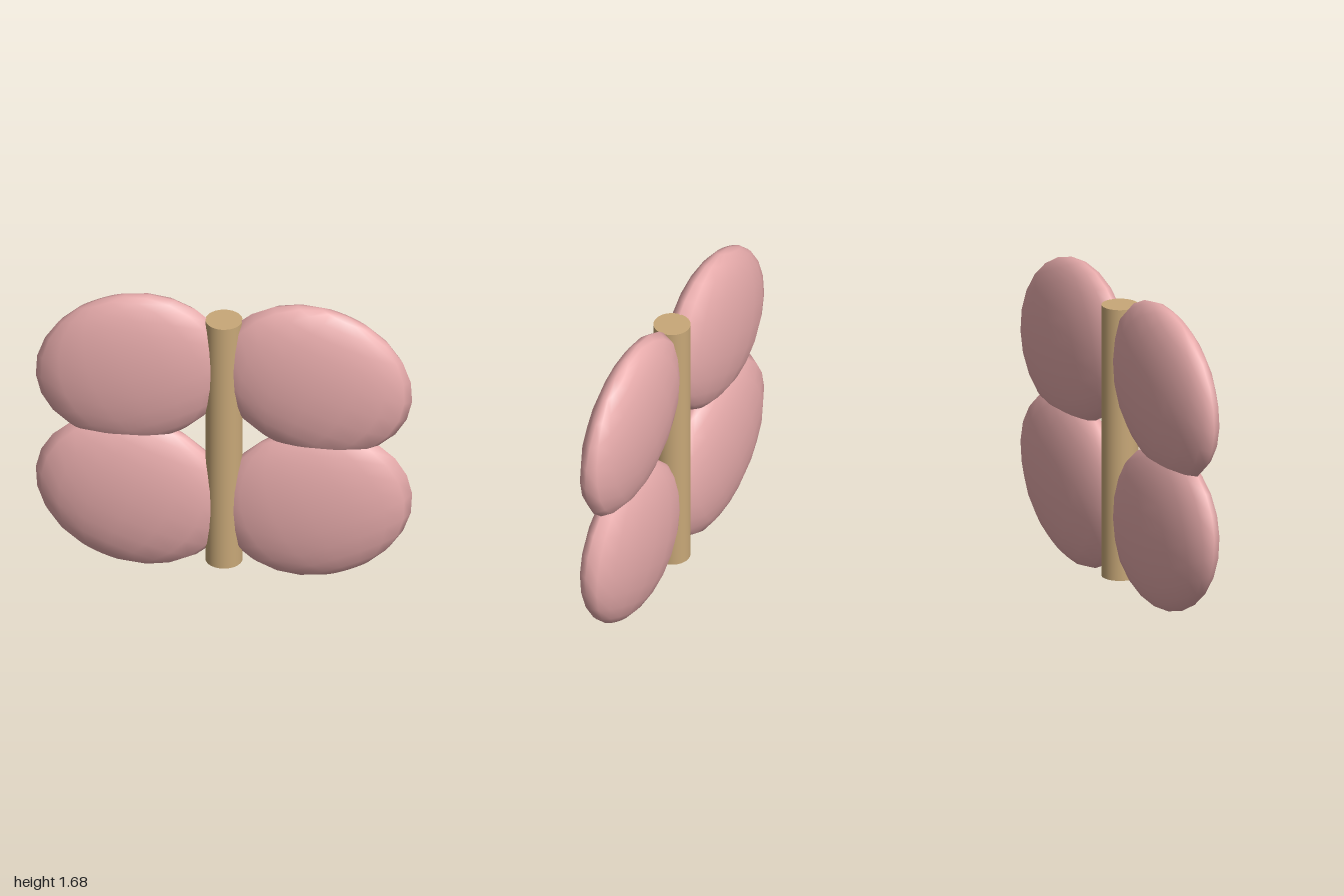
import * as THREE from 'three';

export function createModel() {
  const model = new THREE.Group();
  const pink = new THREE.MeshStandardMaterial({ color: 0xe8acac });
  pink.name = 'pink';
  const tan = new THREE.MeshStandardMaterial({ color: 0xc8a878 });
  tan.name = 'tan';

  // Central upright rod
  const rod = new THREE.Mesh(new THREE.CylinderGeometry(0.098, 0.098, 1.5, 32), tan);
  rod.name = 'rod';
  rod.position.y = 0.81;
  model.add(rod);

  // Four flattened, tilted lobes mirrored left-right and up-down
  const lobeShape = new THREE.SphereGeometry(1, 16, 12);
  const midHeight = 0.842;
  for (const side of [1, -1]) {
    for (const level of [1, -1]) {
      const lobe = new THREE.Mesh(lobeShape, pink);
      lobe.name = (level > 0 ? 'upper' : 'lower') + (side > 0 ? 'Left' : 'Right') + 'Lobe';
      lobe.scale.set(0.53, 0.445, 0.14);
      lobe.rotation.z = -0.4 * side * level;
      lobe.position.set(0.482 * side, midHeight + 0.382 * level, 0);
      model.add(lobe);
    }
  }
  return model;
}
